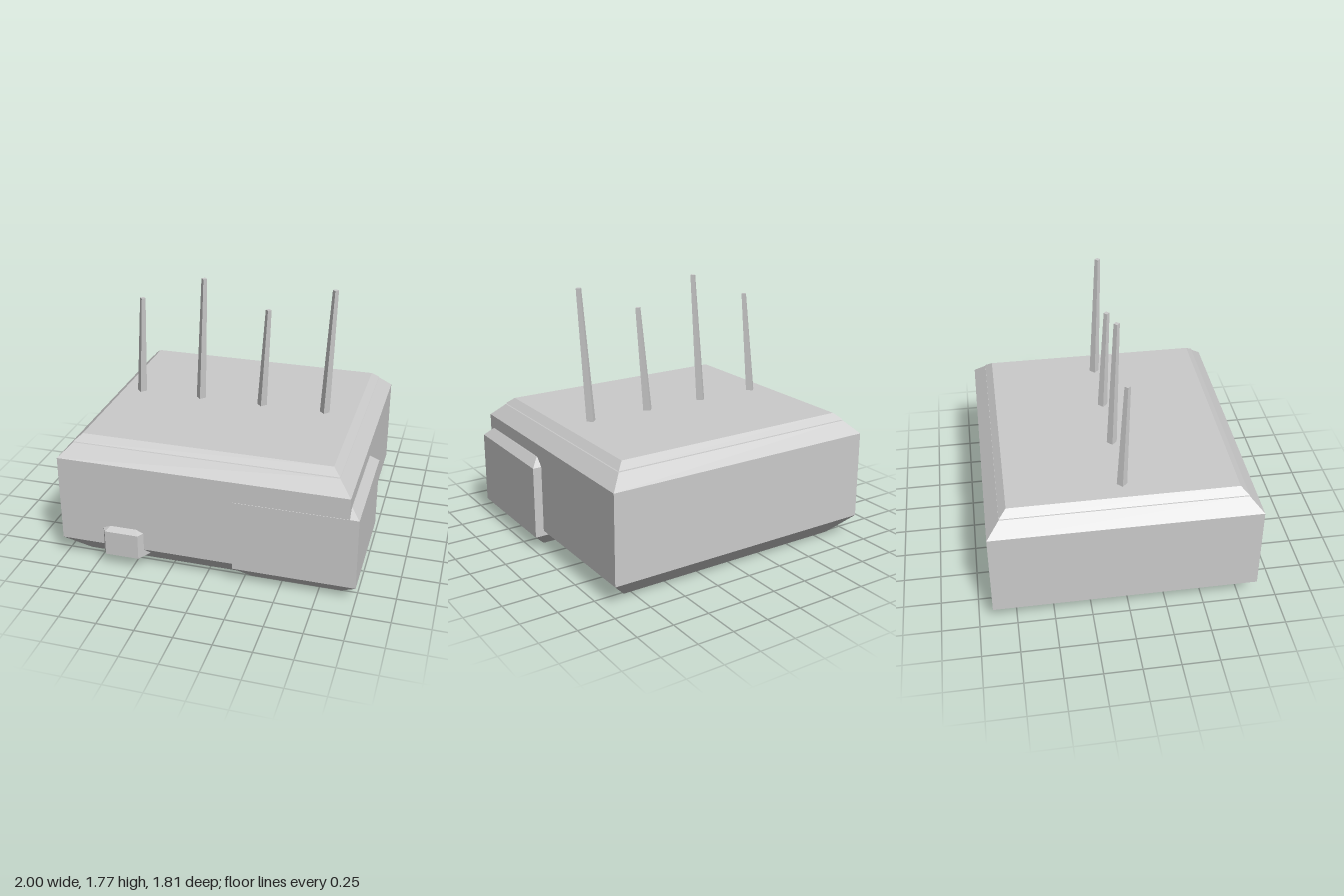
import * as THREE from 'three';

const material = new THREE.MeshStandardMaterial({ color: 0xcccccc, flatShading: true });

// Solid through stacked rectangles, each [y, x0, x1, z0, z1], listed from bottom to top
function loft(rects) {
  const pos = [];
  const quad = (a, b, c, d) => pos.push(...a, ...b, ...c, ...a, ...c, ...d);
  const rings = rects.map(([y, x0, x1, z0, z1]) =>
    [[x0, y, z1], [x1, y, z1], [x1, y, z0], [x0, y, z0]]);
  for (let i = 0; i < rings.length - 1; i++) {
    const lo = rings[i], hi = rings[i + 1];
    for (let k = 0; k < 4; k++) {
      const n = (k + 1) % 4;
      quad(lo[k], lo[n], hi[n], hi[k]);
    }
  }
  const [a, b, c, d] = rings[0];
  quad(d, c, b, a);
  quad(...rings[rings.length - 1]);
  const geo = new THREE.BufferGeometry();
  geo.setAttribute('position', new THREE.Float32BufferAttribute(pos, 3));
  geo.computeVertexNormals();
  return geo;
}

// Rectangles that share an outline, shrunk evenly by [y, inset]
const insetLoft = (x0, x1, z0, z1, steps) =>
  loft(steps.map(([y, d]) => [y, x0 + d, x1 - d, z0 + d, z1 - d]));

export function createModel() {
  const group = new THREE.Group();
  const add = (name, geo) => {
    const mesh = new THREE.Mesh(geo, material);
    mesh.name = name;
    group.add(mesh);
    return mesh;
  };

  // Chamfered main body with a thin seam below the lid
  add('body', insetLoft(-1, 0.94, -0.905, 0.86, [
    [0, 0.138], [0.145, 0], [0.75, 0], [0.835, 0.085],
    [0.835, 0.105], [0.842, 0.105], [0.842, 0.086], [0.885, 0.135],
  ]));

  // Side block bulging out of the front left corner
  add('sideBlock', insetLoft(0.19, 1, 0.05, 0.861, [
    [0, 0.107], [0.108, 0], [0.605, 0], [0.66, 0.055],
  ]));

  // Hexagonal stud with pointed ends, mostly sunk into the front
  const studProfile = [[0, 0], [0.23, 0.095], [0.23, 0.27], [0, 0.365]]
    .map(([r, y]) => new THREE.Vector2(r, y));
  const stud = add('frontStud', new THREE.LatheGeometry(studProfile, 6, Math.PI / 6));
  stud.position.set(-0.56, 0, 0.705);

  // Row of leaning, tapered four-sided spikes, alternating short and tall
  const base = 0.885;
  for (let i = 0; i < 4; i++) {
    const h = (i % 2 ? 1.775 : 1.598) - base;
    const geo = new THREE.CylinderGeometry(0.02, 0.034, h, 4);
    geo.translate(0, h / 2, 0);
    // Shear so that the ends stay level
    geo.applyMatrix4(new THREE.Matrix4().makeShear(0, 0, 0.048 / h, 0.037 / h, 0, 0));
    geo.computeVertexNormals();
    add('spike' + (i + 1), geo).position.set(-0.732 + i * 0.443, base, -0.02);
  }
  return group;
}
